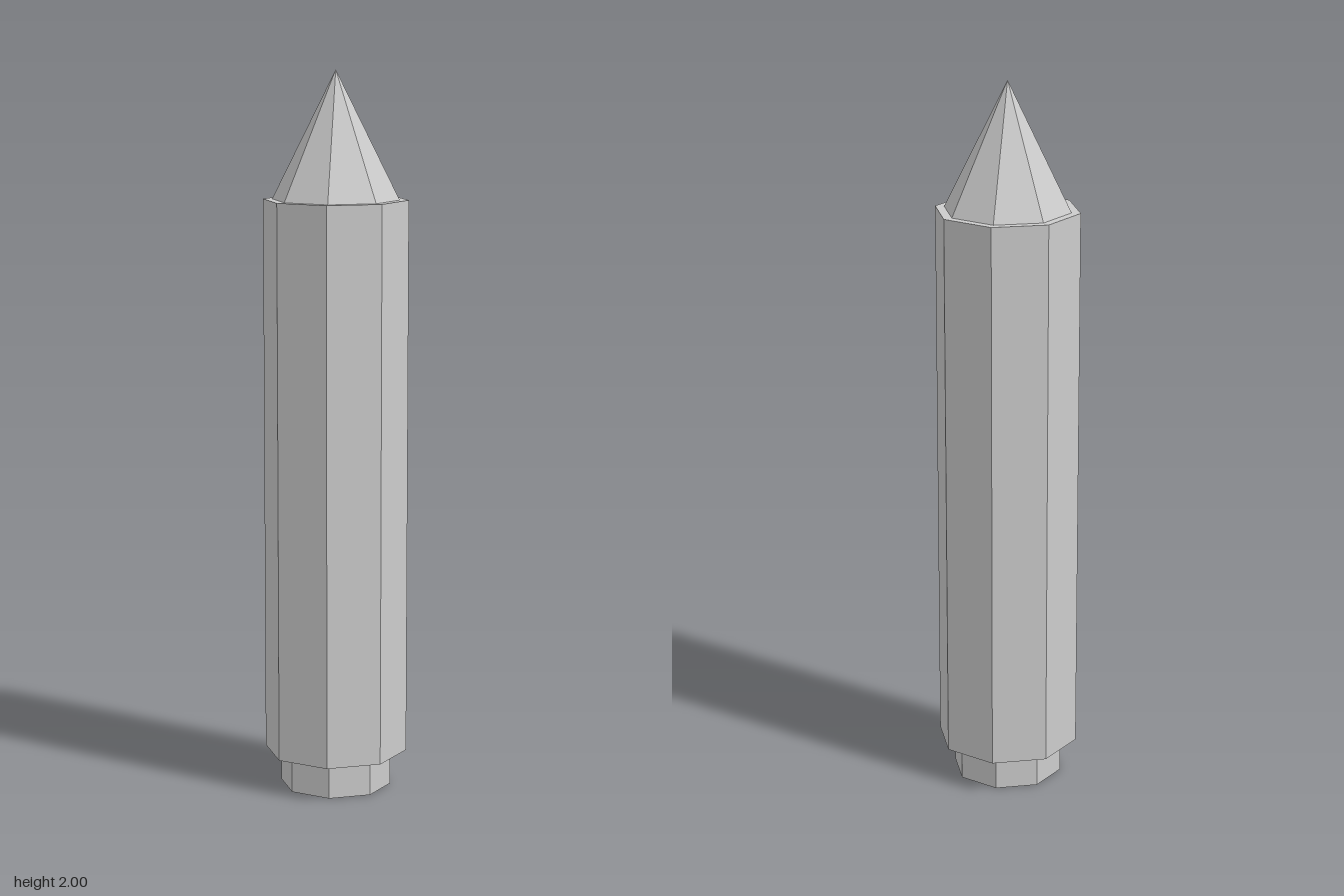
import * as THREE from 'three';

const SIDES = 8;

export function createModel() {
  const model = new THREE.Group();
  const material = new THREE.MeshStandardMaterial({ color: 0xcccccc, flatShading: true });

  // Adds an eight-sided section between two heights, with a corner facing front
  const addSection = (name, topRadius, bottomRadius, bottom, top) => {
    const geometry = new THREE.CylinderGeometry(topRadius, bottomRadius, top - bottom, SIDES);
    const mesh = new THREE.Mesh(geometry, material);
    mesh.name = name;
    mesh.position.y = (bottom + top) / 2;
    model.add(mesh);
  };

  addSection('base', 0.155, 0.155, 0, 0.1);
  addSection('body', 0.2, 0.2, 0.1, 1.65);
  addSection('pointedTip', 0, 0.175, 1.65, 2);

  return model;
}
